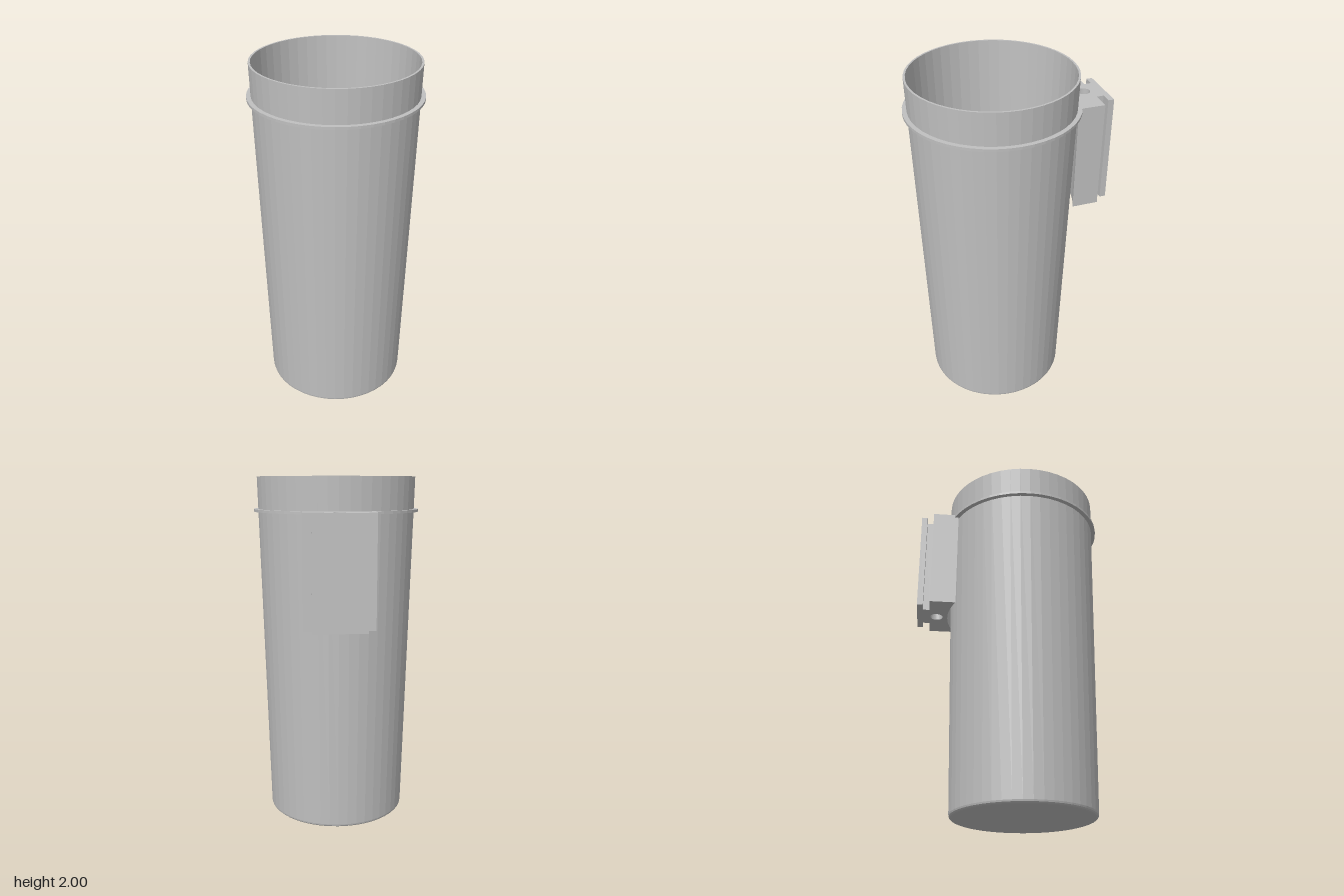
import * as THREE from 'three';

const CUP_Z = 0.08; // cup axis sits forward of the bracket
const SIDES = 48;

// Lathe with crisp facets
function facetedLathe(profile) {
  const points = profile.map(([r, y]) => new THREE.Vector2(r, y));
  const geometry = new THREE.LatheGeometry(points, SIDES).toNonIndexed();
  geometry.computeVertexNormals();
  return geometry;
}

export function createModel() {
  const model = new THREE.Group();
  model.name = 'cupWithBracket';
  const grey = new THREE.MeshStandardMaterial({ color: 0xc0c0c0 });
  grey.name = 'grey';

  const add = (name, geometry, z = 0) => {
    const mesh = new THREE.Mesh(geometry, grey);
    mesh.name = name;
    mesh.position.z = z;
    model.add(mesh);
  };

  // Thin tapered cup with a rounded bottom edge, outside up then inside down
  add('cup', facetedLathe([
    [0, 0], [0.39, 0], [0.398, 0.003], [0.404, 0.009], [0.406, 0.018],
    [0.455, 2], [0.444, 2], [0.396, 0.015], [0, 0.015],
  ]), CUP_Z);

  // Collar below the rim
  add('collar', facetedLathe([
    [0.447, 1.804], [0.475, 1.804], [0.475, 1.819], [0.447, 1.819],
  ]), CUP_Z);

  // Rear bracket: T-shaped rail on a block that curves around the cup
  const radius = 0.455, halfBlock = 0.193;
  const angle = Math.acos(halfBlock / radius);
  const shape = new THREE.Shape();
  const rail = [[halfBlock, 0.483], [0.085, 0.483], [0.085, 0.522], [0.146, 0.522], [0.146, 0.556]];
  rail.forEach(([x, y], i) => (i ? shape.lineTo(x, y) : shape.moveTo(x, y)));
  [...rail].reverse().forEach(([x, y]) => shape.lineTo(-x, y));
  shape.absarc(0, -CUP_Z, radius, Math.PI - angle, angle, true);
  shape.closePath();

  // Round hole running down the block
  const hole = new THREE.Path();
  hole.absarc(0, 0.44, 0.037, 0, Math.PI * 2, true);
  shape.holes.push(hole);

  const bracket = new THREE.ExtrudeGeometry(shape, { depth: 0.613, bevelEnabled: false, curveSegments: 16 });
  bracket.rotateX(-Math.PI / 2);
  bracket.translate(0, 1.206, 0);
  add('bracket', bracket);

  return model;
}
